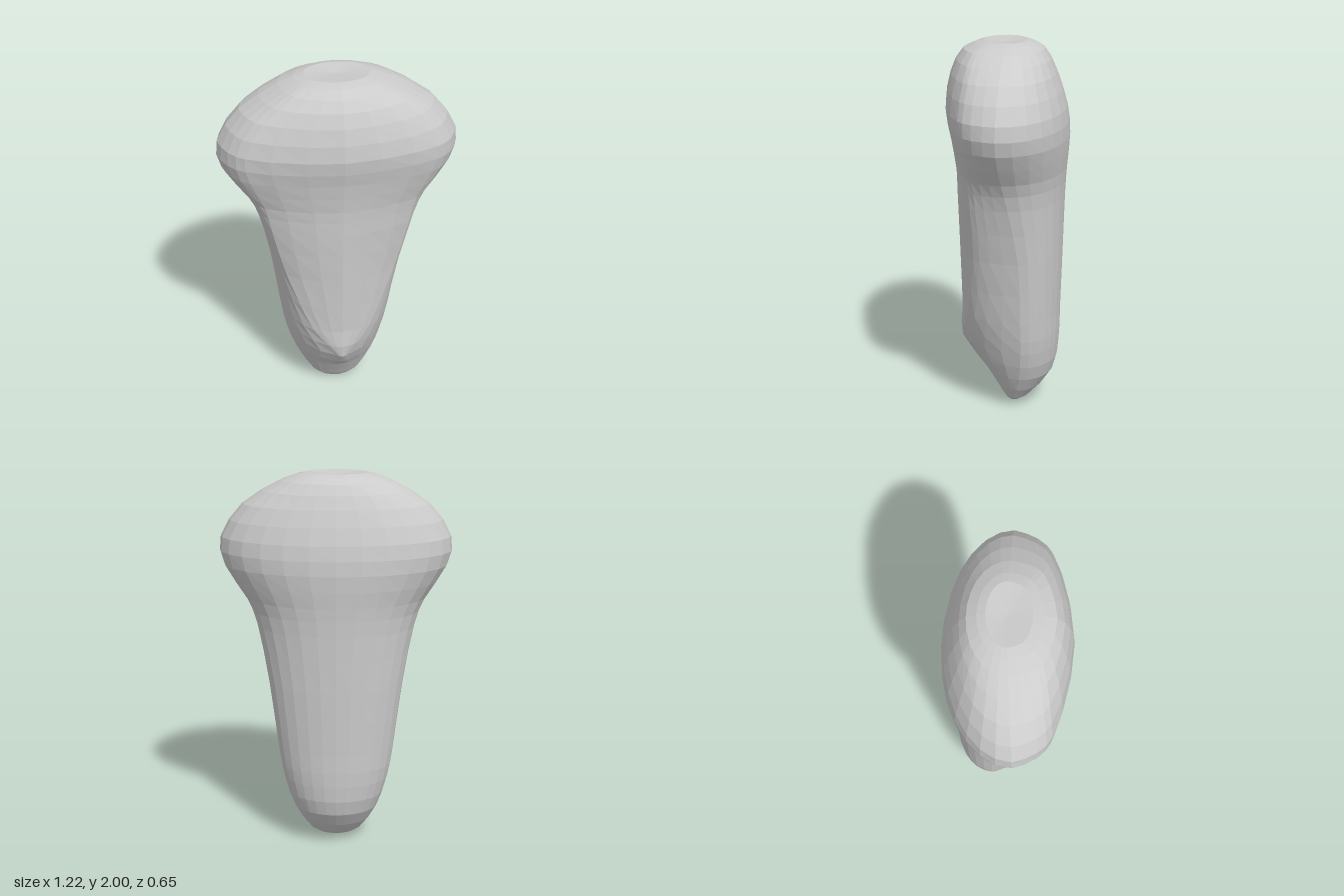
import * as THREE from 'three';

// Key sections from bottom to top:
// [y, half width, front z, back z, z at widest, half width of front plate, plate edge z]
const KEYS = [
  [0.01, 0.06, 0.0, -0.06, -0.03, 0.03, -0.005],
  [0.05, 0.135, 0.03, -0.13, -0.04, 0.06, 0.02],
  [0.2, 0.225, 0.12, -0.25, -0.07, 0.07, 0.105],
  [0.37, 0.28, 0.25, -0.28, -0.08, 0.03, 0.235],
  [0.55, 0.31, 0.25, -0.285, -0.08, 0.155, 0.21],
  [0.9, 0.355, 0.26, -0.295, -0.07, 0.285, 0.165],
  [1.2, 0.415, 0.27, -0.303, -0.02, 0.355, 0.175],
  [1.35, 0.475, 0.275, -0.312, 0.01, 0.385, 0.185],
  [1.52, 0.587, 0.298, -0.325, 0.03, 0.455, 0.21],
  [1.67, 0.602, 0.325, -0.31, 0.03, 0.475, 0.22],
  [1.84, 0.485, 0.296, -0.255, 0.02, 0.38, 0.2],
  [1.96, 0.29, 0.23, -0.19, 0.01, 0.225, 0.165],
  [2.0, 0.165, 0.12, -0.1, 0.0, 0.125, 0.085],
];

// Adds a smooth in-between section after each key section
function refine(keys) {
  const last = keys.length - 1;
  return keys.flatMap((key, i) => {
    if (i === last) return [key];
    const before = keys[Math.max(i - 1, 0)], next = keys[i + 1], after = keys[Math.min(i + 2, last)];
    return [key, key.map((v, c) => (9 * (v + next[c]) - before[c] - after[c]) / 16)];
  });
}

// Half outline of one section, from front centre round to back centre
function halfOutline([, w, zf, zb, zw, xe, ze]) {
  const pts = [[0, zf], [xe * 0.38, zf + (ze - zf) * 0.18], [xe * 0.74, zf + (ze - zf) * 0.55]];
  // Side behind the plate: blend of a straight and a rounded line
  for (let i = 0; i < 4; i++) {
    const t = i / 4, a = t * Math.PI / 2;
    pts.push([
      xe + (w - xe) * (0.4 * t + 0.6 * Math.sin(a)),
      zw + (ze - zw) * (0.4 * (1 - t) + 0.6 * Math.cos(a)),
    ]);
  }
  // Elliptical back
  for (let i = 0; i <= 7; i++) {
    const a = (i / 7) * Math.PI / 2;
    pts.push([w * Math.cos(a), zw + (zb - zw) * Math.sin(a)]);
  }
  return pts;
}

// Closed skin through all sections
function loft(sections, bottom, top) {
  const rings = sections.map((s) => {
    const half = halfOutline(s);
    const mirrored = half.slice(1, -1).reverse().map(([x, z]) => [-x, z]);
    return [...half, ...mirrored].map(([x, z]) => [x, s[0], z]);
  });
  const n = rings[0].length;
  const last = (rings.length - 1) * n;
  const b = rings.length * n, t = b + 1;
  const index = [];
  for (let j = 0; j < n; j++) {
    const k = (j + 1) % n;
    for (let i = 0; i < last; i += n) {
      index.push(i + j, i + k, i + n + j, i + k, i + n + k, i + n + j);
    }
    index.push(b, k, j, t, last + j, last + k);
  }
  const geo = new THREE.BufferGeometry();
  geo.setAttribute('position', new THREE.Float32BufferAttribute([...rings.flat(2), ...bottom, ...top], 3));
  geo.setIndex(index);
  geo.computeVertexNormals();
  return geo;
}

export function createModel() {
  const group = new THREE.Group();
  group.name = 'taperedBody';
  const material = new THREE.MeshStandardMaterial({ color: 0xcccccc, flatShading: true });
  // Rounded head, front plate and tapering tip in one skin, with a shallow dip on top
  const body = new THREE.Mesh(loft(refine(KEYS), [0, 0, -0.03], [0, 1.988, 0]), material);
  body.name = 'body';
  group.add(body);
  return group;
}
